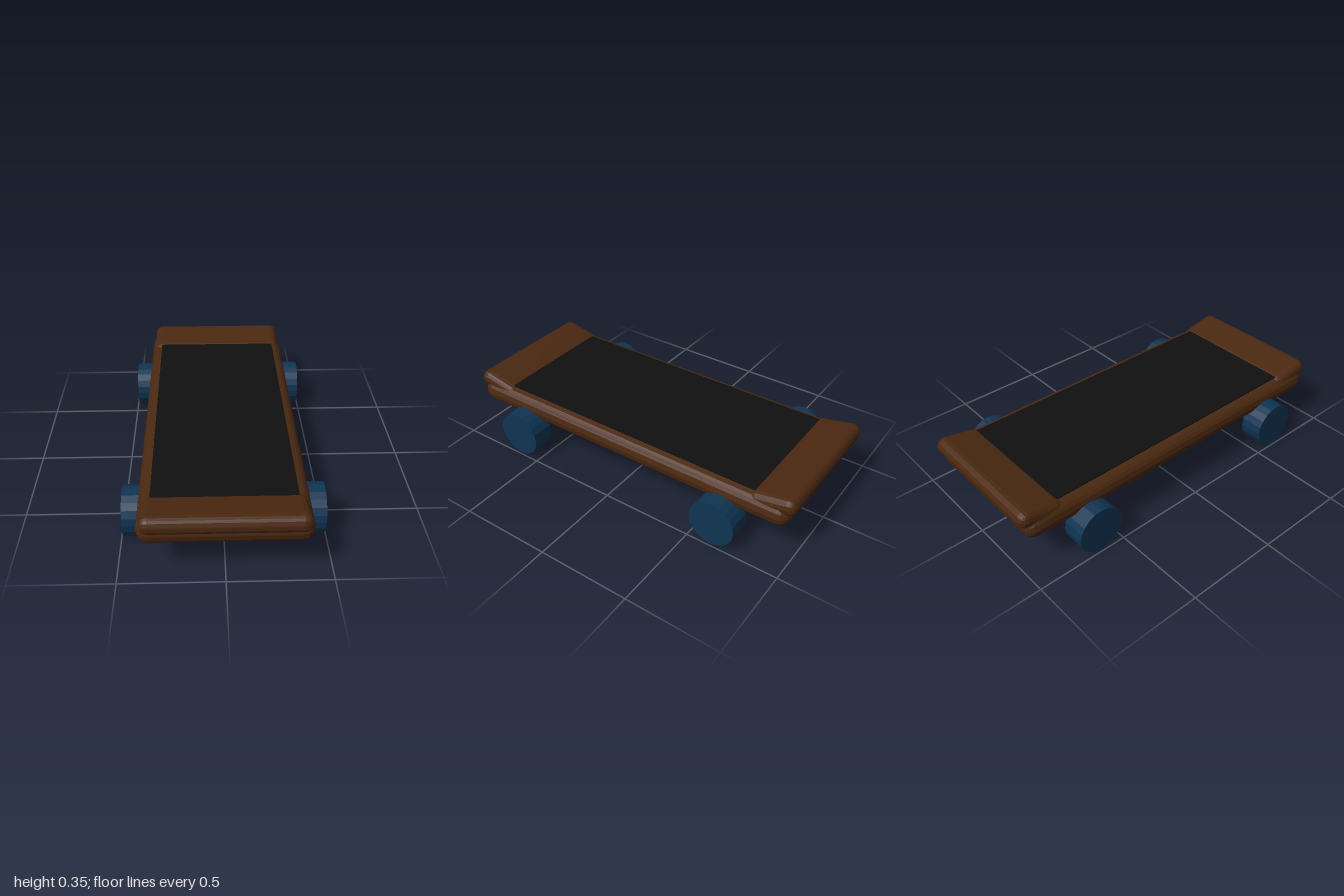
import * as THREE from 'three';
import { RoundedBoxGeometry } from 'three/addons/geometries/RoundedBoxGeometry.js';

const paint = (name, color) => {
  const material = new THREE.MeshStandardMaterial({ color });
  material.name = name;
  return material;
};

// Gives every face its own normal for a faceted look
const faceted = (geometry) => {
  const flat = geometry.index ? geometry.toNonIndexed() : geometry;
  flat.computeVertexNormals();
  return flat;
};

export function createModel() {
  const wood = paint('dark wood', 0x4a2810);
  const grip = paint('black grip', 0x101010);
  const rubber = paint('blue wheel', 0x0f3452);
  const brass = paint('brass axle', 0x966a28);

  const board = new THREE.Group();
  board.name = 'skateboard';
  const add = (name, geometry, material, x, y, z) => {
    const mesh = new THREE.Mesh(geometry, material);
    mesh.name = name;
    mesh.position.set(x, y, z);
    board.add(mesh);
    return mesh;
  };

  // Deck and its grip sheet
  add('deck', faceted(new RoundedBoxGeometry(0.81, 0.125, 1.94, 2, 0.06)), wood, 0, 0.2475, 0);
  add('gripSheet', new THREE.BoxGeometry(0.69, 0.009, 1.55), grip, 0, 0.3115, 0);

  // Shared parts of both ends
  const kick = faceted(new RoundedBoxGeometry(0.776, 0.09, 0.25, 2, 0.042));
  const wheel = faceted(new THREE.CylinderGeometry(0.125, 0.125, 0.124, 20).rotateZ(Math.PI / 2));
  const axle = faceted(new THREE.CylinderGeometry(0.044, 0.044, 0.78, 16).rotateZ(Math.PI / 2));

  for (const end of [1, -1]) {
    const label = end > 0 ? 'front' : 'back';
    // Upturned kick
    add(label + 'Kick', kick, wood, 0, 0.292, end * 0.873).rotation.x = -end * 0.2;
    // Axle and its two wheels
    add(label + 'Axle', axle, brass, 0, 0.139, end * 0.625);
    for (const side of [1, -1]) {
      add(label + (side > 0 ? 'LeftWheel' : 'RightWheel'), wheel, rubber, side * 0.426, 0.125, end * 0.625);
    }
  }
  return board;
}
